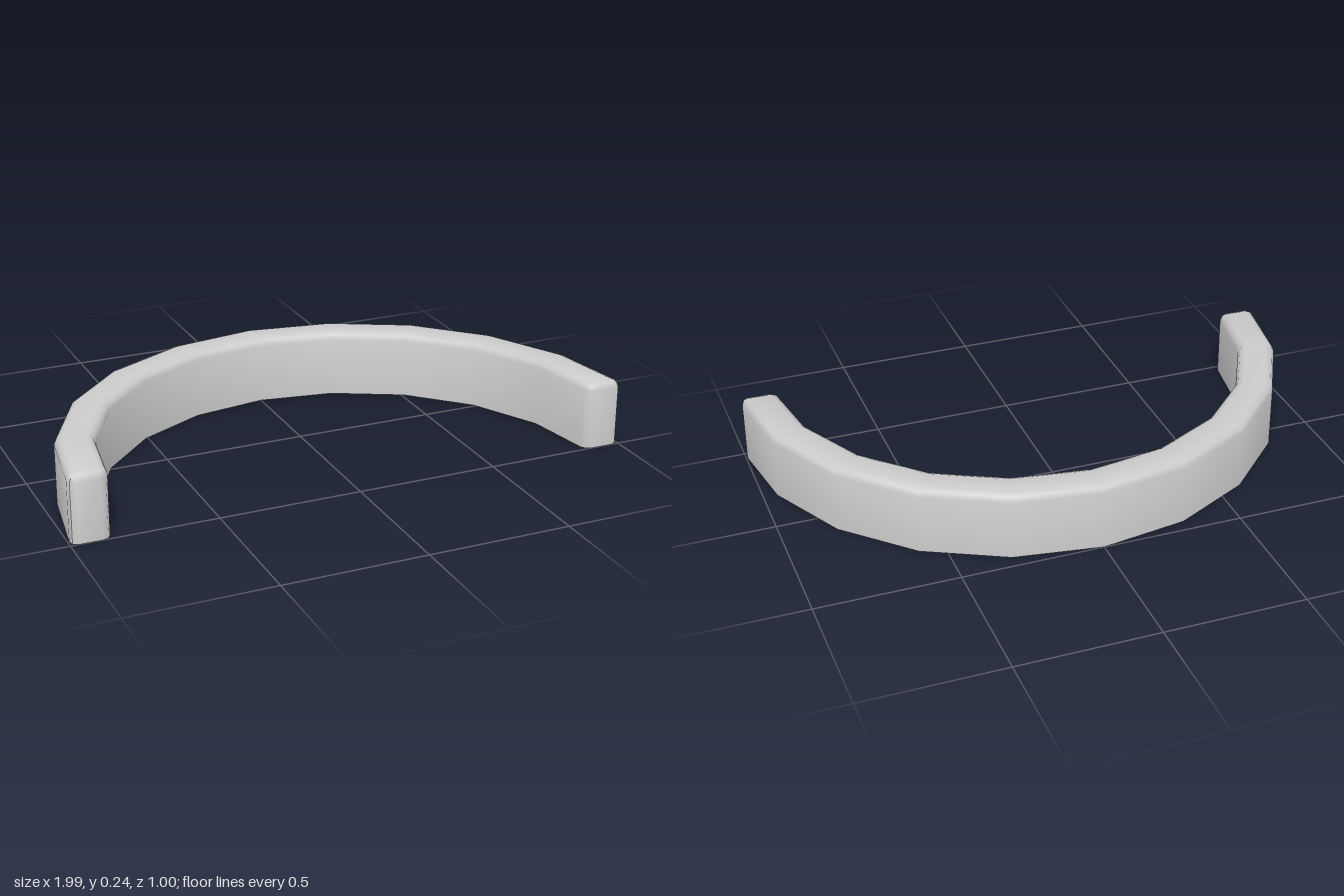
import * as THREE from 'three';
import { toCreasedNormals } from 'three/addons/utils/BufferGeometryUtils.js';

const OUTER = 1, INNER = 0.866, HEIGHT = 0.24, BEVEL = 0.027;
const SEGMENTS = 10, BEVEL_STEPS = 2, CENTRE_Z = 0.5;

// Cross-section (radius, y), rounded along the top and shrunk by an inset near the ends
function section(inset) {
  const r = BEVEL - inset, points = [[OUTER - inset, 0]];
  for (let i = 0; i <= BEVEL_STEPS; i++) {
    const a = (i / BEVEL_STEPS) * Math.PI / 2;
    points.push([OUTER - BEVEL + r * Math.cos(a), HEIGHT - BEVEL + r * Math.sin(a)]);
  }
  for (let i = BEVEL_STEPS; i >= 0; i--) {
    const a = (i / BEVEL_STEPS) * Math.PI / 2;
    points.push([INNER + BEVEL - r * Math.cos(a), HEIGHT - BEVEL + r * Math.sin(a)]);
  }
  points.push([INNER + inset, 0]);
  return points;
}

// Stations along the half ring: rounded end, facet corners, mirrored rounded end
function stations() {
  const step = Math.PI / SEGMENTS, list = [], start = [];
  for (let i = 0; i <= BEVEL_STEPS; i++) {
    const a = (1 - i / BEVEL_STEPS) * Math.PI / 2;
    const f = BEVEL * (1 - Math.sin(a)) / (0.933 * Math.sin(step));
    start.push({
      c: 1 + f * (Math.cos(step) - 1),
      s: f * Math.sin(step),
      inset: BEVEL * (1 - Math.cos(a)),
    });
  }
  // the bevel runs from the cap (full inset) to the full section
  start.forEach((p, i) => {
    const a = (i / BEVEL_STEPS) * Math.PI / 2;
    const f = BEVEL * (1 - Math.cos(a)) / (0.933 * Math.sin(step));
    p.c = 1 + f * (Math.cos(step) - 1);
    p.s = f * Math.sin(step);
    p.inset = BEVEL * (1 - Math.sin(a));
  });
  list.push(...start);
  for (let i = 1; i < SEGMENTS; i++) {
    list.push({ c: Math.cos(i * step), s: Math.sin(i * step), inset: 0 });
  }
  list.push(...start.reverse().map((p) => ({ ...p, c: -p.c })));
  return list;
}

function archGeometry() {
  const positions = [], index = [], rings = stations();
  const n = section(0).length, last = (rings.length - 1) * n;
  for (const { c, s, inset } of rings) {
    for (const [r, y] of section(inset)) positions.push(r * c, y, CENTRE_Z - r * s);
  }
  // Skin between neighbouring sections
  for (let i = 0; i < rings.length - 1; i++) {
    for (let j = 0; j < n; j++) {
      const k = (j + 1) % n, a = i * n, b = a + n;
      index.push(a + j, b + j, a + k, b + j, b + k, a + k);
    }
  }
  // End caps
  for (let j = 1; j < n - 1; j++) {
    index.push(0, j, j + 1, last, last + j + 1, last + j);
  }
  const geometry = new THREE.BufferGeometry();
  geometry.setAttribute('position', new THREE.Float32BufferAttribute(positions, 3));
  geometry.setIndex(index);
  return toCreasedNormals(geometry, THREE.MathUtils.degToRad(50));
}

export function createModel() {
  const model = new THREE.Group();
  model.name = 'halfRing';
  const arch = new THREE.Mesh(
    archGeometry(),
    new THREE.MeshStandardMaterial({ color: 0xcccccc }),
  );
  arch.name = 'curvedBar';
  model.add(arch);
  return model;
}
